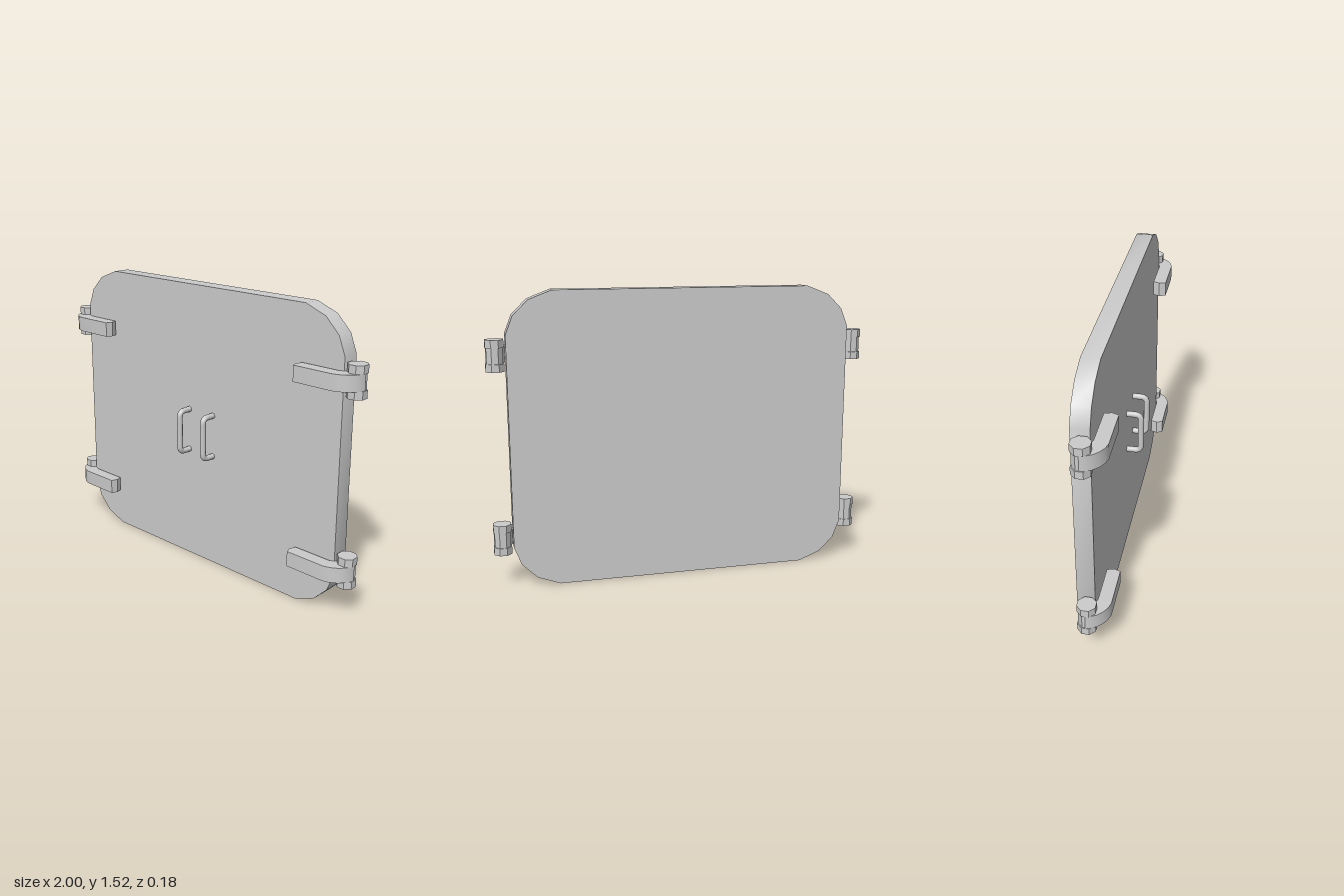
import * as THREE from 'three';
import { toCreasedNormals } from 'three/addons/utils/BufferGeometryUtils.js';

const material = new THREE.MeshStandardMaterial({ color: 0xcccccc });
const HEIGHT = 1.525, THICK = 0.09;

function addMesh(parent, name, geometry) {
  const mesh = new THREE.Mesh(geometry, material);
  mesh.name = name;
  parent.add(mesh);
  return mesh;
}

// Extrude an outline, mirrored in x by side, with softly shaded curves
function extrude(points, side, depth) {
  const shape = new THREE.Shape(points.map(([x, y]) => new THREE.Vector2(x * side, y)));
  const geometry = new THREE.ExtrudeGeometry(shape, { depth, bevelEnabled: false });
  return toCreasedNormals(geometry, 0.6);
}

// One half of the double door, with clipped round outer corners
function leafGeometry(side) {
  const corner = [[0.67, 0], [0.787, 0.045], [0.865, 0.122], [0.902, 0.215]];
  const upper = corner.map(([x, y]) => [x, HEIGHT - y]).reverse();
  const outline = [[0, 0], ...corner, ...upper, [0, HEIGHT]];
  return extrude(outline, side, THICK).translate(0, 0, -THICK);
}

// Strap lying on the leaf and curling round to the hinge pin
function strapGeometry(side) {
  const outline = [
    [0.67, 0.008], [0.658, 0.042], [0.67, 0.077], [0.89, 0.077], [0.925, 0.067],
    [0.955, 0.048], [0.98, 0.022], [0.995, -0.008], [0.999, -0.03], [0.985, -0.055],
    [0.955, -0.07], [0.925, -0.055], [0.912, -0.02], [0.898, 0.001], [0.875, 0.008],
  ];
  return extrude(outline, side, 0.08).rotateX(Math.PI / 2).translate(0, 0.04, 0);
}

function hinge(side, y) {
  const group = new THREE.Group();
  group.name = 'hinge';
  group.position.y = y;
  addMesh(group, 'hingeStrap', strapGeometry(side));
  // Eight-sided knuckles above and below the strap, and the pin between
  const knuckle = (name, radius, height, offset) => {
    const geometry = toCreasedNormals(
      new THREE.CylinderGeometry(radius, radius, height, 8).rotateY(Math.PI / 8), 0.6);
    addMesh(group, name, geometry).position.set(side * 0.955, offset, -0.03);
  };
  knuckle('upperKnuckle', 0.0495, 0.04, 0.06);
  knuckle('lowerKnuckle', 0.0495, 0.04, -0.06);
  knuckle('hingePin', 0.044, 0.16, 0);
  return group;
}

// Round bar bent into a pull handle
function handleGeometry() {
  const low = 0.624, high = 0.85, out = 0.074, bend = 0.032;
  const v = (y, z) => new THREE.Vector3(0, y, z);
  const path = new THREE.CurvePath();
  path.add(new THREE.LineCurve3(v(low, -0.01), v(low, out - bend)));
  path.add(new THREE.QuadraticBezierCurve3(v(low, out - bend), v(low, out), v(low + bend, out)));
  path.add(new THREE.LineCurve3(v(low + bend, out), v(high - bend, out)));
  path.add(new THREE.QuadraticBezierCurve3(v(high - bend, out), v(high, out), v(high, out - bend)));
  path.add(new THREE.LineCurve3(v(high, out - bend), v(high, -0.01)));
  return new THREE.TubeGeometry(path, 48, 0.0155, 10, false);
}

export function createModel() {
  const model = new THREE.Group();
  model.name = 'doubleHatchDoor';
  for (const side of [-1, 1]) {
    const name = side > 0 ? 'left' : 'right';
    addMesh(model, name + 'Leaf', leafGeometry(side));
    addMesh(model, name + 'Handle', handleGeometry()).position.x = side * 0.086;
    for (const y of [0.253, 1.205]) model.add(hinge(side, y));
  }
  return model;
}
